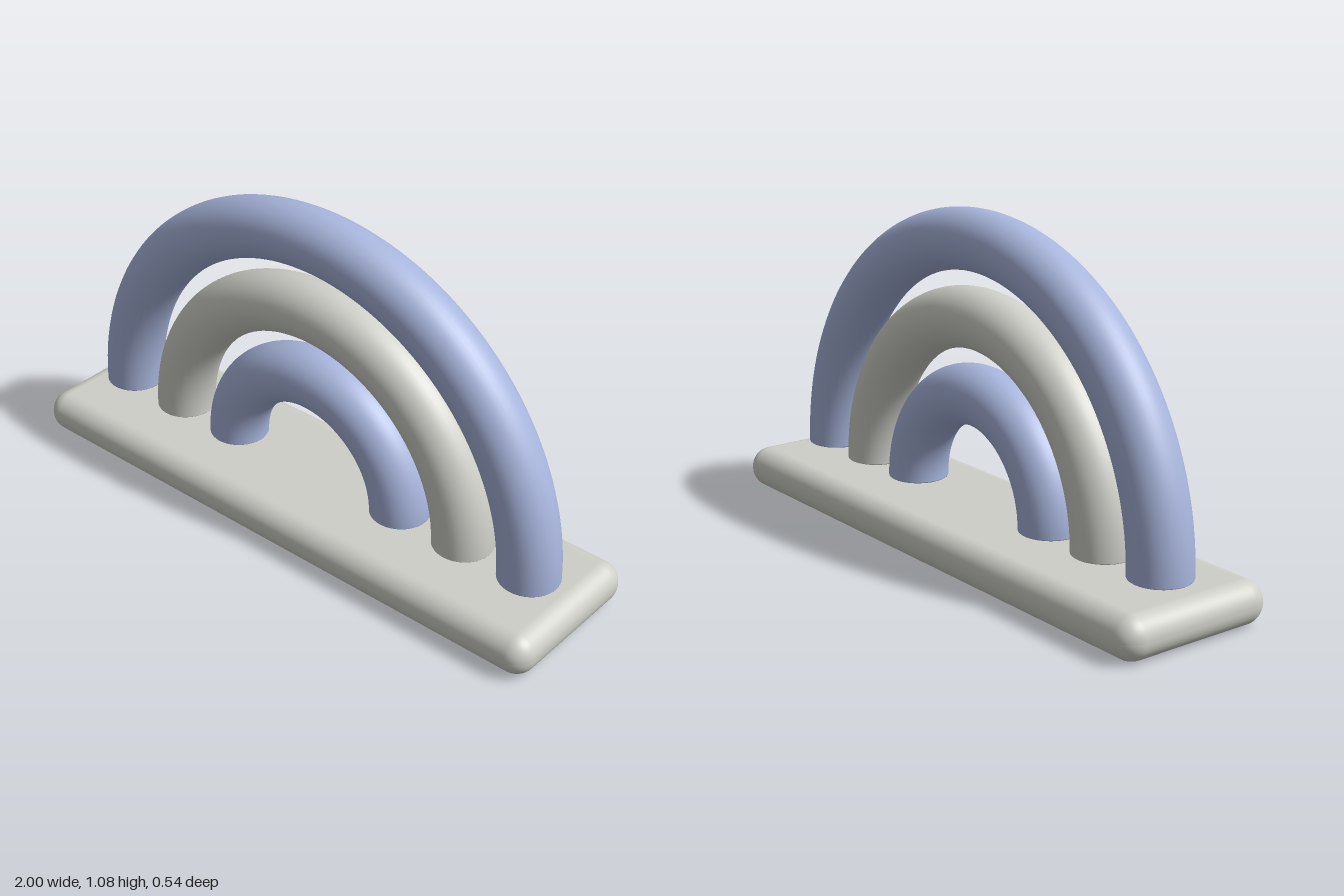
import * as THREE from 'three';
import { RoundedBoxGeometry } from 'three/addons/geometries/RoundedBoxGeometry.js';

const TUBE = 0.097;   // tube radius of every arch
const FOOT_Y = 0.157; // height where the arches end
const CAP = 0.013;    // depth of the shallow domed ends

function createArch(name, radius, material) {
  const arch = new THREE.Group();
  arch.name = name;

  // Half-ring tube
  const tube = new THREE.Mesh(new THREE.TorusGeometry(radius, TUBE, 40, 96, Math.PI), material);
  tube.name = name + 'Tube';
  arch.add(tube);

  // Shallow dome closing each foot
  for (const side of [-1, 1]) {
    const dome = new THREE.SphereGeometry(TUBE, 40, 12, 0, Math.PI * 2, Math.PI / 2, Math.PI / 2);
    dome.scale(1, CAP / TUBE, 1);
    const foot = new THREE.Mesh(dome, material);
    foot.name = name + (side > 0 ? 'LeftFoot' : 'RightFoot');
    foot.position.x = side * radius;
    arch.add(foot);
  }
  arch.position.y = FOOT_Y;
  return arch;
}

export function createModel() {
  const blue = new THREE.MeshStandardMaterial({ name: 'softBlue', color: 0xa8b5dc });
  const grey = new THREE.MeshStandardMaterial({ name: 'warmGrey', color: 0xcfcfc9 });
  const model = new THREE.Group();
  model.name = 'archOrnament';

  // Rounded base slab
  const base = new THREE.Mesh(new RoundedBoxGeometry(2, 0.137, 0.54, 8, 0.066), grey);
  base.name = 'base';
  base.position.y = 0.0685;
  model.add(base);

  // Three nested arches
  model.add(
    createArch('outerArch', 0.825, blue),
    createArch('middleArch', 0.582, grey),
    createArch('innerArch', 0.339, blue)
  );
  return model;
}
